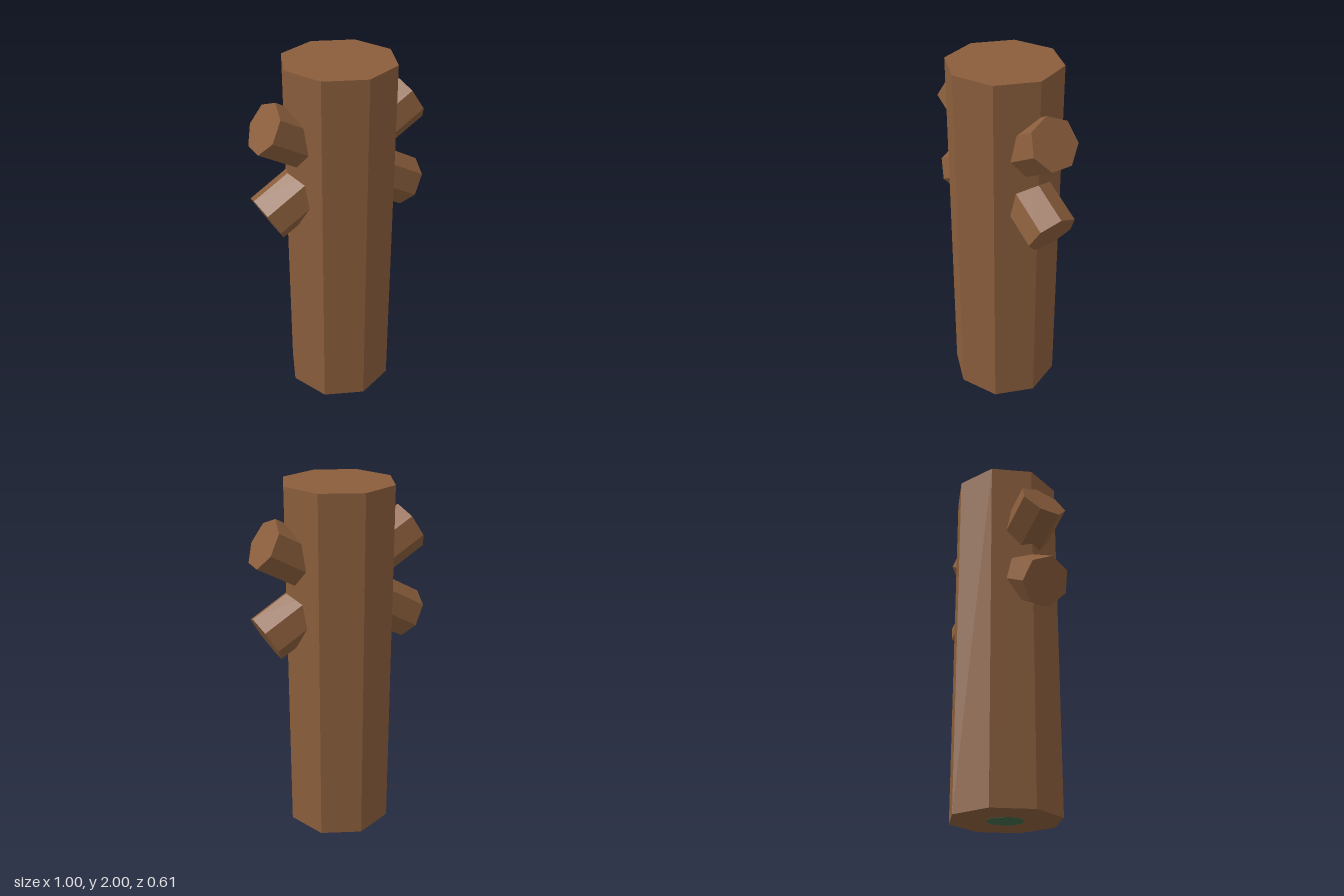
import * as THREE from 'three';

export function createModel() {
  const model = new THREE.Group();
  model.name = 'logPost';

  const bark = new THREE.MeshStandardMaterial({ color: 0x8b5e3c, flatShading: true });
  bark.name = 'brown bark';
  const green = new THREE.MeshStandardMaterial({ color: 0x446a4c, flatShading: true });
  green.name = 'dark green';

  // Eight-sided trunk with corners on the axes
  const trunk = new THREE.Mesh(new THREE.CylinderGeometry(0.306, 0.306, 2, 8), bark);
  trunk.name = 'trunk';
  trunk.position.y = 1;
  model.add(trunk);

  // Seven-sided branch stub, from inside the trunk to its cut end
  const up = new THREE.Vector3(0, 1, 0);
  const length = 0.4;
  function addStub(name, side, endX, endY, rise) {
    const axis = new THREE.Vector3(side * Math.cos(Math.PI / 6), rise * 0.5, 0);
    const geometry = new THREE.CylinderGeometry(0.14, 0.14, length, 7);
    geometry.rotateY(-side * Math.PI / 2); // one corner faces upward
    const stub = new THREE.Mesh(geometry, bark);
    stub.name = name;
    stub.quaternion.setFromUnitVectors(up, axis);
    stub.position.set(side * endX - 0.002, endY, 0).addScaledVector(axis, -length / 2);
    model.add(stub);
  }
  for (const [label, side] of [['left', 1], ['right', -1]]) {
    addStub(label + 'UpperStub', side, 0.425, 1.72, 1);
    addStub(label + 'LowerStub', side, 0.432, 1.2, -1);
  }

  // Small green core showing on the underside
  const core = new THREE.Mesh(new THREE.CylinderGeometry(0.1, 0.1, 0.006, 10), green);
  core.name = 'undersideCore';
  core.position.y = 0.002;
  model.add(core);

  return model;
}
